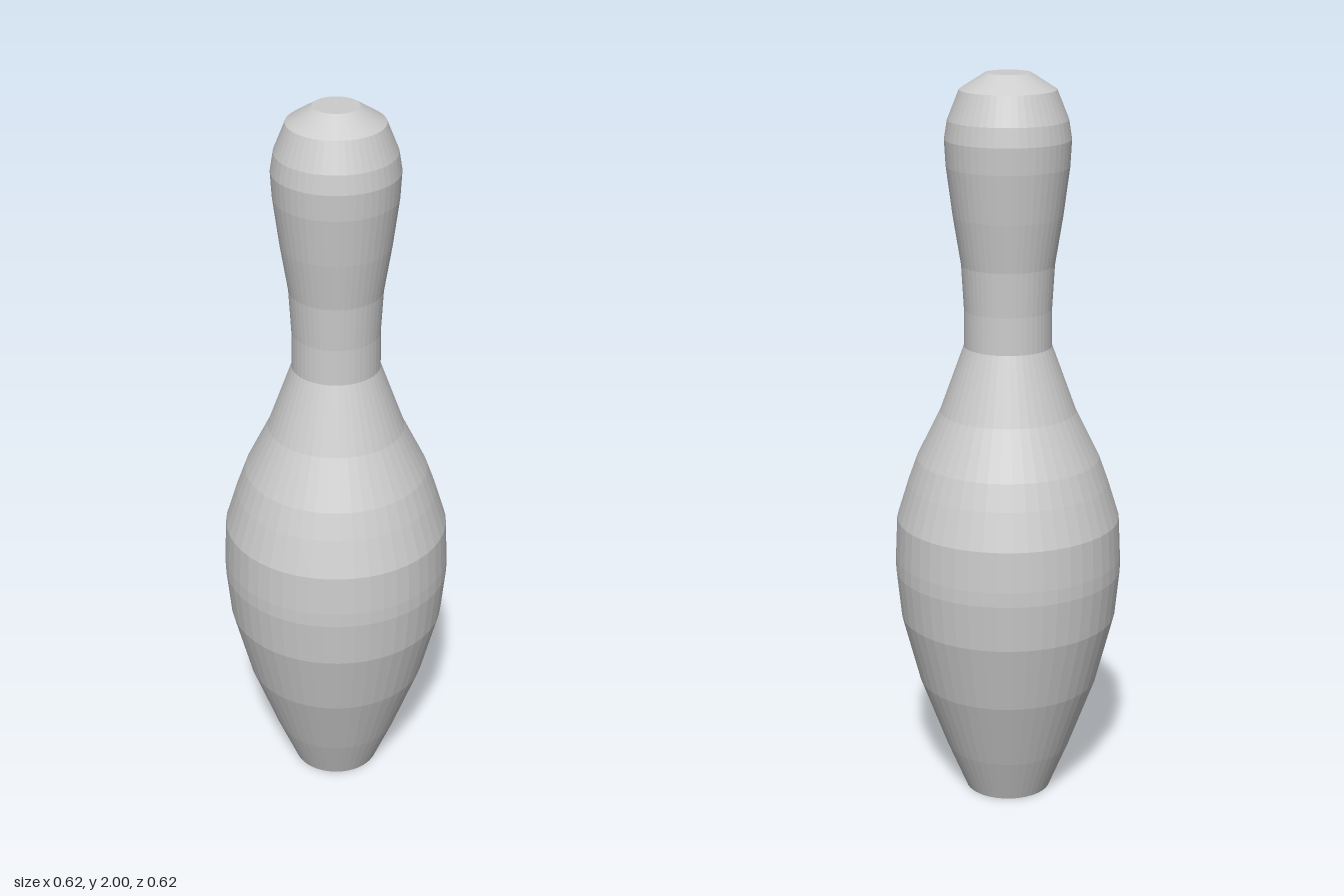
import * as THREE from 'three';

export function createModel() {
  const group = new THREE.Group();
  group.name = 'bowlingPin';

  const paleGrey = new THREE.MeshStandardMaterial({ color: 0xcccccc, flatShading: true });
  paleGrey.name = 'paleGrey';

  // Profile as [radius, height], from the base up: belly, neck, rounded head
  const profile = [
    [0, 0], [0.118, 0], [0.172, 0.13], [0.246, 0.33], [0.295, 0.52],
    [0.308, 0.65], [0.308, 0.69], [0.303, 0.8], [0.272, 0.9], [0.247, 0.97],
    [0.183, 1.1], [0.118, 1.28], [0.117, 1.38], [0.124, 1.5],
    [0.145, 1.63], [0.162, 1.76], [0.166, 1.83], [0.158, 1.88],
    [0.127, 1.957], [0.06, 2], [0, 2],
  ].map(([r, y]) => new THREE.Vector2(r, y));

  const body = new THREE.Mesh(new THREE.LatheGeometry(profile, 48), paleGrey);
  body.name = 'pinBody';
  group.add(body);
  return group;
}
